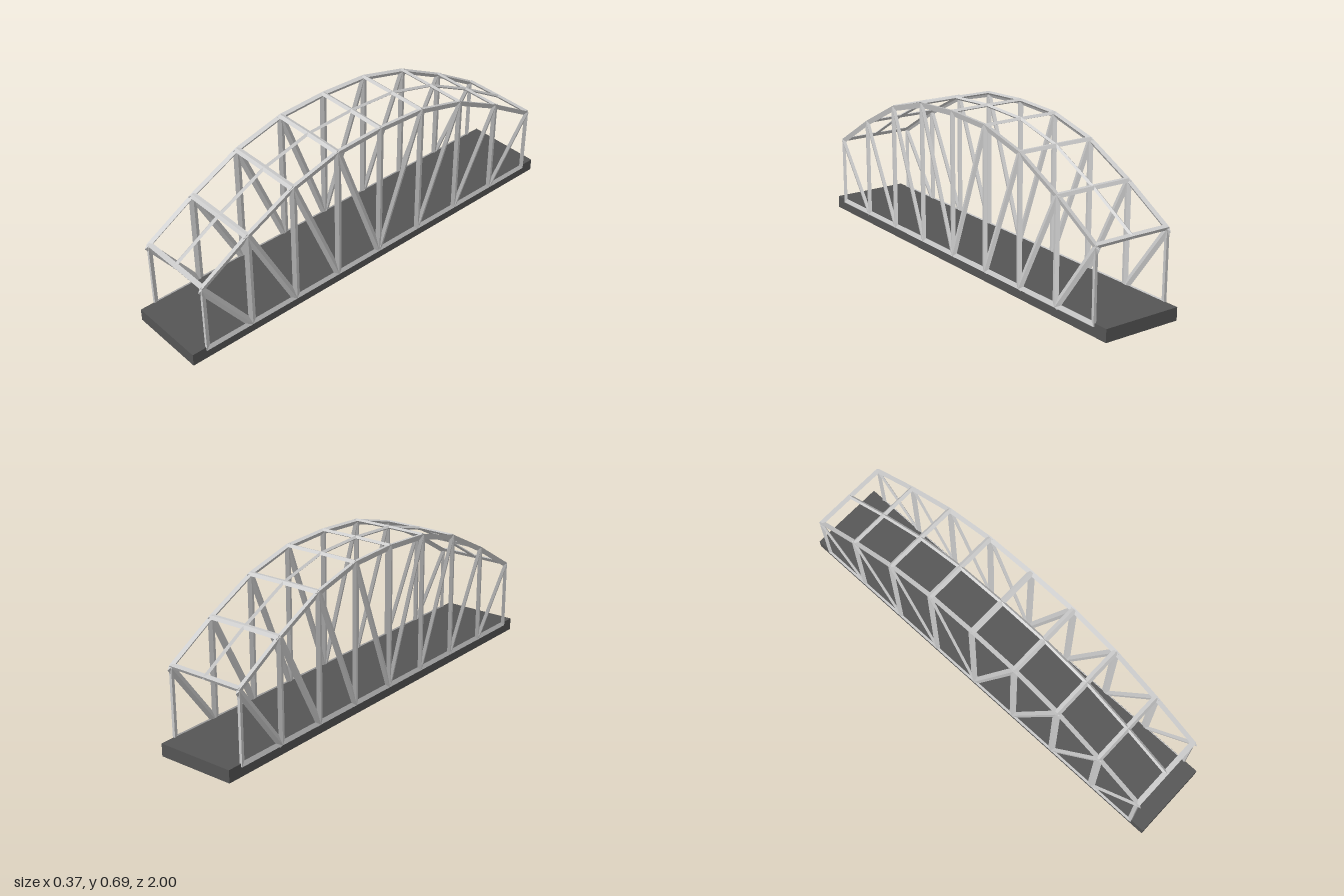
import * as THREE from 'three';

const V = (x, y, z) => new THREE.Vector3(x, y, z);
const steel = new THREE.MeshStandardMaterial({ color: 0xcccccc, flatShading: true });
const asphalt = new THREE.MeshStandardMaterial({ color: 0x555555 });

// Sweeps a convex section (list of offsets) along a path, with capped ends.
function sweep(path, offsets) {
  const dir = path[path.length - 1].clone().sub(path[0]);
  const turn = V(0, 0, 0);
  offsets.forEach((o, i) => turn.add(o.clone().cross(offsets[(i + 1) % offsets.length])));
  const section = turn.dot(dir) < 0 ? [...offsets].reverse() : offsets;
  const n = section.length, pos = [], idx = [];
  path.forEach(p => section.forEach(o => pos.push(p.x + o.x, p.y + o.y, p.z + o.z)));
  for (let r = 0; r < path.length - 1; r++) {
    for (let i = 0; i < n; i++) {
      const a = r * n + i, b = r * n + (i + 1) % n;
      idx.push(a, b, b + n, a, b + n, a + n);
    }
  }
  const end = (path.length - 1) * n;
  for (let i = 1; i < n - 1; i++) idx.push(0, i + 1, i, end, end + i, end + i + 1);
  const indexed = new THREE.BufferGeometry();
  indexed.setAttribute('position', new THREE.Float32BufferAttribute(pos, 3));
  indexed.setIndex(idx);
  const geometry = indexed.toNonIndexed();
  geometry.computeVertexNormals();
  return geometry;
}

// Rhombus section: u is the half width in the panel, v the half thickness.
const rhombus = (u, v) => [u, v, u.clone().negate(), v.clone().negate()];
// Half rhombus for panel borders: u points into the panel.
const border = (u, v) => [u, v, v.clone().negate()];

export function createModel() {
  const root = new THREE.Group();
  root.name = 'trussBridge';
  const add = (parent, name, geometry, material = steel) => {
    const mesh = new THREE.Mesh(geometry, material);
    mesh.name = name;
    parent.add(mesh);
  };

  // Roadway slab
  const deck = new THREE.BoxGeometry(0.36, 0.056, 2);
  deck.translate(0, 0.028, 0);
  add(root, 'deck', deck, asphalt);

  // Arch joints, from back to front
  const heights = [0.683, 0.672, 0.611, 0.495, 0.357];
  const joints = [];
  for (let i = -4; i <= 4; i++) joints.push({ z: i * 0.2335, y: heights[Math.abs(i)] });
  const wallX = 0.179, baseY = 0.042, thin = 0.0065;

  // Two mirrored side trusses
  for (const side of [1, -1]) {
    const truss = new THREE.Group();
    truss.name = side > 0 ? 'leftTruss' : 'rightTruss';
    root.add(truss);
    const x = side * wallX;
    const thickness = V(thin, 0, 0);
    const top = joints.map(j => V(x, j.y, j.z));
    const base = joints.map(j => V(x, baseY, j.z));

    // Upper chord fills the corner between wall and roof
    add(truss, 'topChord', sweep(top, [
      V(side * 0.006, 0.005, 0), V(0, -0.02, 0),
      V(-side * 0.006, -0.008, 0), V(-side * 0.014, 0.001, 0),
    ]));
    add(truss, 'bottomChord', sweep([base[0], base[8]], border(V(0, 0.02, 0), thickness)));

    joints.forEach((j, i) => {
      const k = i - 4;
      const section = Math.abs(k) === 4
        ? border(V(0, 0, -Math.sign(k) * 0.02), thickness)
        : rhombus(V(0, 0, 0.0185), thickness);
      add(truss, 'post', sweep([base[i], top[i]], section));

      // Brace leans outward from the foot of the next joint inward
      if (k !== 0) {
        const foot = base[i - Math.sign(k)];
        const d = top[i].clone().sub(foot).normalize();
        add(truss, 'diagonal', sweep([foot, top[i]], rhombus(V(0, -d.z, d.y).multiplyScalar(0.017), thickness)));
      }
    });
  }

  // Roof: cross beams tilted with the arch, plus a central spine
  const roof = new THREE.Group();
  roof.name = 'roofFrame';
  root.add(roof);
  joints.forEach((j, i) => {
    const a = joints[Math.max(i - 1, 0)], b = joints[Math.min(i + 1, 8)];
    const along = V(0, b.y - a.y, b.z - a.z).normalize();
    const up = V(0, along.z, -along.y);
    const section = i === 0 || i === 8
      ? border(along.clone().multiplyScalar(i ? -0.022 : 0.022), up.multiplyScalar(0.0085))
      : rhombus(along.multiplyScalar(0.0145), up.multiplyScalar(0.0075));
    add(roof, 'crossBeam', sweep([V(-wallX, j.y, j.z), V(0, j.y + 0.001, j.z), V(wallX, j.y, j.z)], section));
  });
  add(roof, 'spine', sweep(joints.map(j => V(0, j.y + 0.001, j.z)), rhombus(V(0.009, 0, 0), V(0, 0.008, 0))));

  return root;
}
